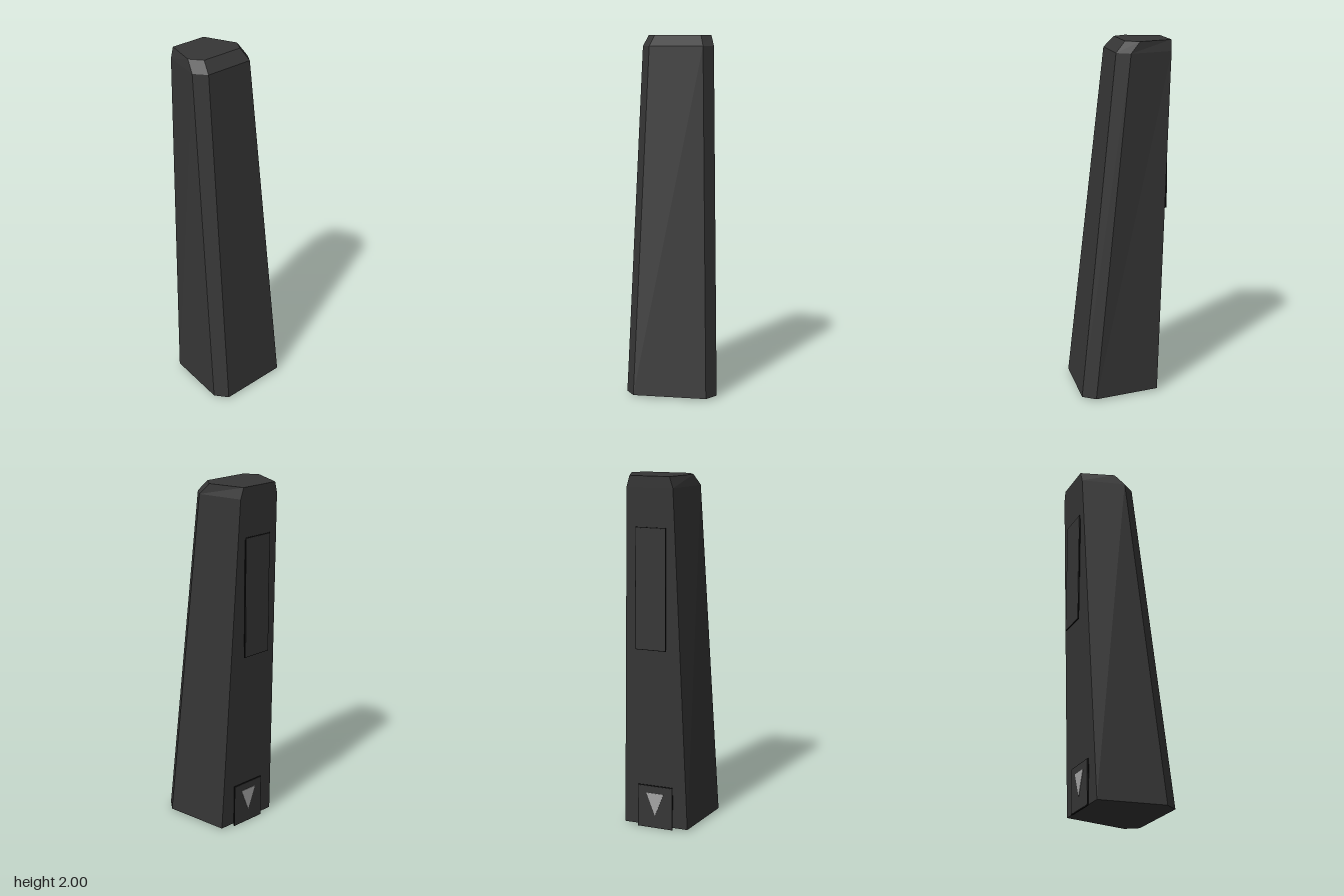
import * as THREE from 'three';

const bodyMat = new THREE.MeshStandardMaterial({ color: 0x363636 });
bodyMat.name = 'charcoal';
const rimMat = new THREE.MeshStandardMaterial({ color: 0x111111 });
rimMat.name = 'black';
const markMat = new THREE.MeshStandardMaterial({ color: 0xa5a5a5 });
markMat.name = 'light grey';

// Six-sided ring, mirrored in x: front corner, side corner, back corner
function ring(y, front, side, back) {
  const half = [front, side, back];
  const right = half.map(([x, z]) => new THREE.Vector3(x, y, z));
  const left = half.map(([x, z]) => new THREE.Vector3(-x, y, z)).reverse();
  return [...right, ...left];
}

// Flat-faced loft through the rings, closed at both ends
function loft(rings) {
  const points = [];
  const tri = (a, b, c) => points.push(a, b, c);
  const n = rings[0].length;
  for (let r = 0; r < rings.length - 1; r++) {
    const lo = rings[r], hi = rings[r + 1];
    for (let i = 0; i < n; i++) {
      const j = (i + 1) % n;
      tri(lo[i], lo[j], hi[j]);
      tri(lo[i], hi[j], hi[i]);
    }
  }
  const bottom = rings[0], top = rings[rings.length - 1];
  for (let i = 1; i < n - 1; i++) {
    tri(bottom[0], bottom[i + 1], bottom[i]);
    tri(top[0], top[i], top[i + 1]);
  }
  const geo = new THREE.BufferGeometry().setFromPoints(points);
  geo.computeVertexNormals();
  return geo;
}

// Thin panel on the back with a narrow dark rim behind it
function backPanel(name, width, y0, y1, z) {
  const group = new THREE.Group();
  group.name = name;
  const h = y1 - y0;
  const rim = new THREE.Mesh(new THREE.BoxGeometry(width, h, 0.006), rimMat);
  rim.name = name + 'Rim';
  rim.position.set(0, (y0 + y1) / 2, z + 0.003);
  const face = new THREE.Mesh(new THREE.BoxGeometry(width - 0.008, h - 0.008, 0.004), bodyMat);
  face.name = name + 'Face';
  face.position.set(0, (y0 + y1) / 2, z);
  group.add(rim, face);
  return group;
}

export function createModel() {
  const model = new THREE.Group();
  model.name = 'taperedColumn';

  // Leaning, tapered column with chamfered front corners and bevelled top
  const body = new THREE.Mesh(loft([
    ring(0.01, [0.205, 0.262], [0.255, 0.19], [0.19, -0.182]),
    ring(1.94, [0.15, 0.05], [0.2, -0.02], [0.13, -0.262]),
    ring(2.0, [0.13, -0.004], [0.178, -0.075], [0.112, -0.265]),
  ]), bodyMat);
  body.name = 'column';
  model.add(body);

  // Panels on the back
  model.add(backPanel('upperPanel', 0.175, 1.06, 1.73, -0.256));
  model.add(backPanel('lowerPanel', 0.21, 0, 0.255, -0.196));

  // Downward triangle marker on the lower panel
  const shape = new THREE.Shape([
    new THREE.Vector2(-0.052, 0.21),
    new THREE.Vector2(0, 0.075),
    new THREE.Vector2(0.052, 0.21),
  ]);
  const marker = new THREE.Mesh(
    new THREE.ExtrudeGeometry(shape, { depth: 0.003, bevelEnabled: false }), markMat);
  marker.name = 'triangleMarker';
  marker.position.z = -0.2005;
  model.add(marker);

  return model;
}
